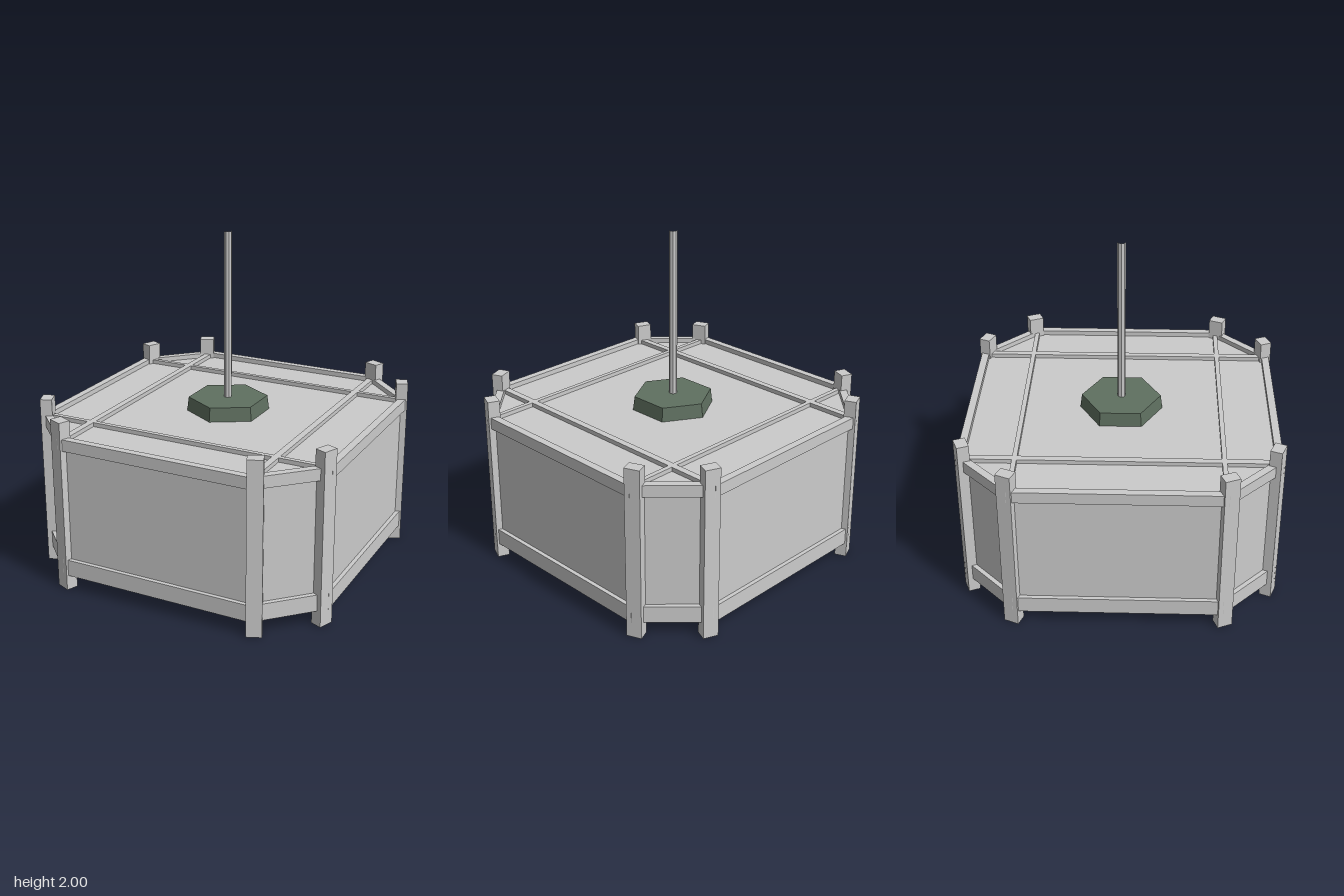
import * as THREE from 'three';

const grey = new THREE.MeshStandardMaterial({ color: 0xcccccc, flatShading: true });
const green = new THREE.MeshStandardMaterial({ color: 0x5f7060, flatShading: true });

export function createModel() {
  const model = new THREE.Group();

  function add(name, geometry, x, y, z, turn = 0, material = grey) {
    const mesh = new THREE.Mesh(geometry, material);
    mesh.name = name;
    mesh.position.set(x, y, z);
    mesh.rotation.y = turn;
    model.add(mesh);
    return mesh;
  }

  // Eight-sided body: four long walls joined by short diagonal walls
  const a = 0.585, b = 0.9;
  const outline = new THREE.Shape(
    [[a, b], [-a, b], [-b, a], [-b, -a], [-a, -b], [a, -b], [b, -a], [b, a]]
      .map(([x, z]) => new THREE.Vector2(x, z)));
  const floorY = 0.125, roofY = 0.91;
  const bodyGeometry = new THREE.ExtrudeGeometry(outline, { depth: roofY - floorY, bevelEnabled: false });
  bodyGeometry.rotateX(-Math.PI / 2);
  add('body', bodyGeometry, 0, floorY, 0);

  // Corner posts, each facing outward halfway between its two walls
  const px = 0.606, pz = 0.886, postHeight = 1.04;
  const postGeometry = new THREE.BoxGeometry(0.09, postHeight, 0.07);
  for (const sx of [1, -1]) {
    for (const sz of [1, -1]) {
      for (const [x, z, angle] of [[px, pz, Math.PI / 8], [pz, px, Math.PI * 3 / 8]]) {
        const turn = Math.atan2(sx * Math.sin(angle), sz * Math.cos(angle));
        add('cornerPost', postGeometry, sx * x, postHeight / 2, sz * z, turn);
      }
    }
  }

  // Upper and lower rails on all eight walls
  const diagonalLength = (pz - px) * Math.SQRT2;
  const diagonalDistance = (px + pz) / Math.SQRT2;
  for (let i = 0; i < 8; i++) {
    const turn = i * Math.PI / 4;
    const diagonal = i % 2 === 1;
    const length = diagonal ? diagonalLength : px * 2;
    const distance = diagonal ? diagonalDistance : 0.902;
    const x = Math.sin(turn) * distance, z = Math.cos(turn) * distance;
    add('lowerRail', new THREE.BoxGeometry(length, 0.1, 0.045), x, 0.14, z, turn);
    add('upperRail', new THREE.BoxGeometry(length, 0.07, 0.045), x, 0.905, z, turn);
  }

  // Crossed bars over the roof and under the floor
  for (const [name, y] of [['roofBar', 0.92], ['floorBar', 0.112]]) {
    for (const s of [1, -1]) {
      add(name, new THREE.BoxGeometry(0.04, 0.03, 1.77), s * 0.59, y, 0);
      add(name, new THREE.BoxGeometry(1.77, 0.03, 0.028), 0, y, s * 0.592);
    }
  }

  // Six-sided collar, points toward front and back
  add('collar', new THREE.CylinderGeometry(0.237, 0.248, 0.09, 6), -0.002, 0.95, -0.006, 0, green);

  // Hanging rod, an open tube
  add('rod', new THREE.CylinderGeometry(0.024, 0.025, 1.01, 8, 1, true), -0.004, 1.495, -0.005);

  return model;
}
